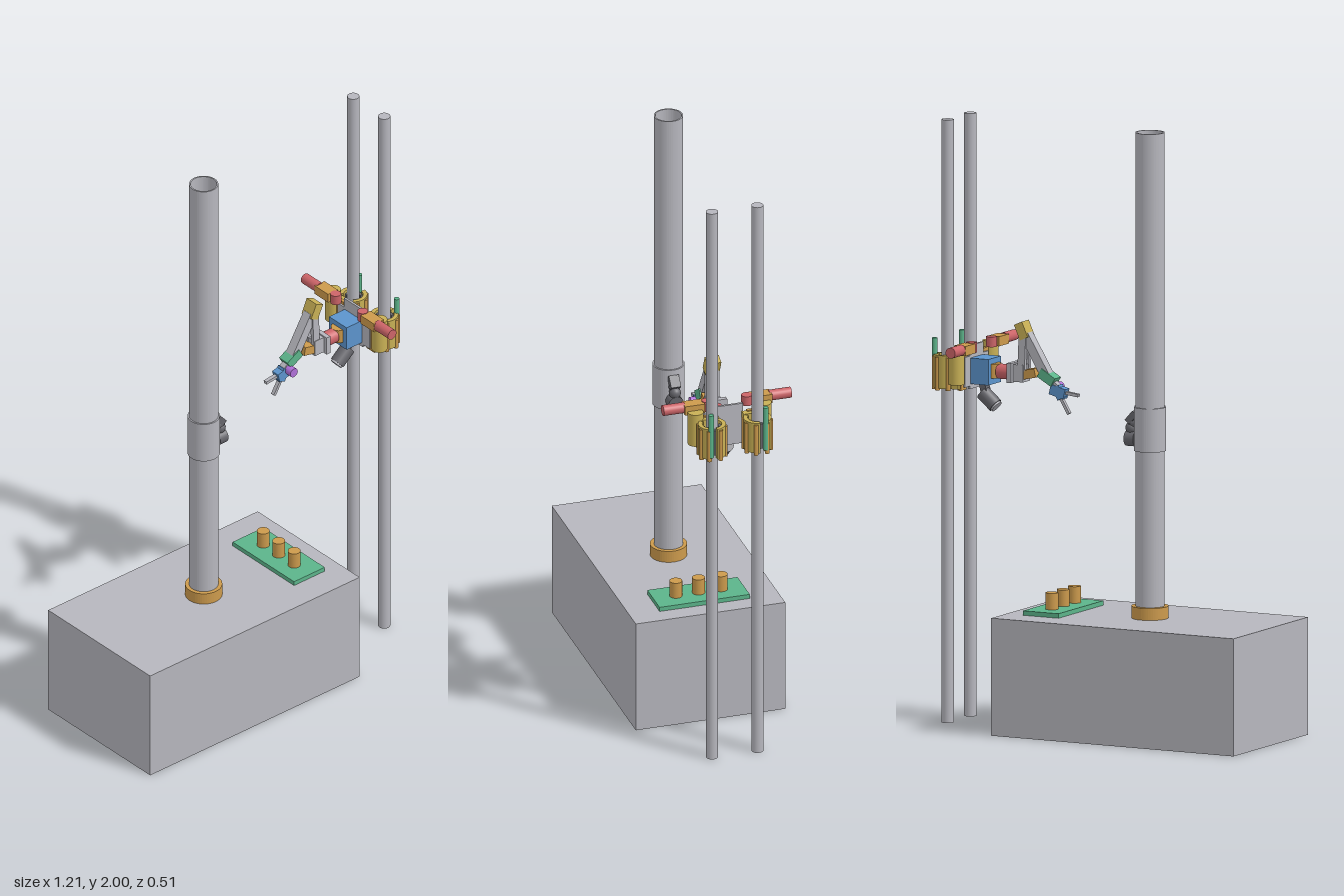
import * as THREE from 'three';

const mat = (name, color) => {
  const m = new THREE.MeshStandardMaterial({ color });
  m.name = name;
  return m;
};

export function createModel() {
  const grey = mat('light grey', 0xb6b6bd), dark = mat('dark grey', 0x66666c);
  const orange = mat('orange', 0xcc9a4c), gold = mat('gold', 0xc8b055);
  const green = mat('green', 0x5cb48a), red = mat('red', 0xcc6468);
  const blue = mat('blue', 0x5c94cc), purple = mat('purple', 0xb070d8);

  const model = new THREE.Group();
  model.name = 'pipeRobotRig';
  const group = (name, parent = model) => {
    const g = new THREE.Group();
    g.name = name;
    parent.add(g);
    return g;
  };
  const add = (parent, name, geo, m, x = 0, y = 0, z = 0) => {
    const mesh = new THREE.Mesh(geo, m);
    mesh.name = name;
    mesh.position.set(x, y, z);
    parent.add(mesh);
    return mesh;
  };
  // Box given by its limits
  const box = (parent, name, m, x0, x1, y0, y1, z0, z1) =>
    add(parent, name, new THREE.BoxGeometry(x1 - x0, y1 - y0, z1 - z0), m, (x0 + x1) / 2, (y0 + y1) / 2, (z0 + z1) / 2);
  // Cylinder between two points
  const up = new THREE.Vector3(0, 1, 0);
  const rod = (parent, name, m, a, b, r, r2 = r, sides = 24) => {
    const p = new THREE.Vector3(...a), q = new THREE.Vector3(...b), d = q.clone().sub(p);
    const mesh = add(parent, name, new THREE.CylinderGeometry(r2, r, d.length(), sides), m);
    mesh.position.copy(p.add(q).multiplyScalar(0.5));
    mesh.quaternion.setFromUnitVectors(up, d.normalize());
    return mesh;
  };
  // Rectangular bar between two points in the arm plane
  const bar = (parent, name, m, [ax, ay], [bx, by], w, depth, z = 0) => {
    const mesh = add(parent, name, new THREE.BoxGeometry(Math.hypot(bx - ax, by - ay), w, depth), m, (ax + bx) / 2, (ay + by) / 2, z);
    mesh.rotation.z = Math.atan2(by - ay, bx - ax);
    return mesh;
  };
  // Hollow vertical tube, or an arc of one
  const tube = (parent, name, m, x, y0, y1, z, ro, ri, a0 = 0, a1 = Math.PI * 2) => {
    const s = new THREE.Shape();
    s.absarc(0, 0, ro, a0, a1, false);
    if (a1 - a0 > 6.28) s.holes.push(new THREE.Path().absarc(0, 0, ri, 0, Math.PI * 2, true));
    else s.absarc(0, 0, ri, a1, a0, true);
    const geo = new THREE.ExtrudeGeometry(s, { depth: y1 - y0, bevelEnabled: false, curveSegments: 24 });
    geo.rotateX(-Math.PI / 2);
    return add(parent, name, geo, m, x, y0, z);
  };

  // Base block and main mast
  box(model, 'baseBlock', grey, -0.607, 0.295, 0, 0.39, -0.257, 0.257);
  const px = -0.157;
  const mast = group('mast');
  tube(mast, 'mastTube', grey, px, 0.39, 2, 0, 0.048, 0.043);
  tube(mast, 'mastCollar', orange, px, 0.39, 0.43, 0, 0.061, 0.047);
  tube(mast, 'mastSleeve', grey, px, 0.945, 1.09, 0, 0.053, 0.047);

  // Camera on the mast sleeve
  const cam = group('mastCamera');
  rod(cam, 'cameraMount', dark, [-0.107, 1.03, 0], [-0.085, 1.03, 0], 0.016);
  bar(cam, 'cameraBracket', dark, [-0.108, 1.066], [-0.08, 1.035], 0.022, 0.034);
  add(cam, 'cameraBall', new THREE.SphereGeometry(0.02, 20, 14), dark, -0.088, 1.015, 0);
  rod(cam, 'cameraBody', dark, [-0.107, 0.98, 0], [-0.072, 0.98, 0], 0.026);

  // Button panel
  const panel = group('buttonPanel');
  box(panel, 'panelPlate', green, 0.1, 0.232, 0.39, 0.405, -0.155, 0.155);
  for (const z of [-0.078, 0, 0.078]) rod(panel, 'button', orange, [0.166, 0.405, z], [0.166, 0.46, z], 0.021);

  // Twin poles with a clamp on each, mirrored across the centre plane
  for (const s of [1, -1]) {
    const z = s * 0.078, x = 0.554;
    rod(model, 'pole', grey, [x, 0, z], [x, 2, z], 0.02);

    const clamp = group(s > 0 ? 'leftClamp' : 'rightClamp');
    const turn = s > 0 ? 0 : Math.PI;
    for (const [a0, a1] of [[-2.35, -0.35], [0.1, 2.3]]) {
      const [b0, b1] = s > 0 ? [a0, a1] : [-a1, -a0];
      tube(clamp, 'jaw', gold, x, 1.112, 1.222, z, 0.046, 0.032, b0, b1);
    }
    for (const a of [-2.1, -1.2, -0.5, 0.4, 1.2, 2.0]) {
      const c = Math.cos(a), d = -s * Math.sin(a);
      rod(clamp, 'jawRib', orange, [x + 0.044 * c, 1.106, z + 0.044 * d], [x + 0.044 * c, 1.216, z + 0.044 * d], 0.008, 0.008, 10);
    }
    for (const a of [-1.6, 0.0, 1.6]) {
      const c = Math.cos(a), d = Math.sin(a);
      const pad = box(clamp, 'gripPad', dark, -0.006, 0.006, -0.045, 0.045, -0.01, 0.01);
      pad.position.set(x + 0.028 * c, 1.167, z + 0.028 * d);
      pad.rotation.y = -a + turn;
    }
    box(clamp, 'clampBody', gold, 0.497, 0.522, 1.112, 1.222, z - 0.036, z + 0.036);
    box(clamp, 'clampRail', orange, 0.494, 0.506, 1.106, 1.226, z - 0.02, z + 0.02);
    rod(clamp, 'greenPin', green, [0.594, 1.12, s * 0.094], [0.594, 1.275, s * 0.094], 0.009, 0.009, 12);

    // Clamp drive
    rod(clamp, 'pivotDisc', gold, [0.5, 1.13, s * 0.117], [0.5, 1.245, s * 0.117], 0.026);
    box(clamp, 'driveHousing', orange, 0.449, 0.491, 1.232, 1.264, Math.min(s * 0.082, s * 0.15), Math.max(s * 0.082, s * 0.15));
    rod(clamp, 'driveMotor', red, [0.467, 1.25, s * 0.145], [0.467, 1.25, s * 0.22], 0.018);
    rod(clamp, 'pivotMotor', red, [0.47, 1.232, s * 0.068], [0.47, 1.266, s * 0.068], 0.018);
  }

  // Carriage joining the clamps
  const carriage = group('carriage');
  box(carriage, 'backPlate', grey, 0.488, 0.496, 1.105, 1.25, -0.047, 0.047);
  box(carriage, 'crossPlate', grey, 0.488, 0.496, 1.115, 1.215, -0.08, 0.08);
  box(carriage, 'controlBox', blue, 0.421, 0.488, 1.122, 1.208, -0.044, 0.044);
  rod(carriage, 'carriageCamera', dark, [0.418, 1.05, 0], [0.465, 1.09, 0], 0.025);
  rod(carriage, 'carriageLens', grey, [0.413, 1.046, 0], [0.419, 1.051, 0], 0.021);
  bar(carriage, 'cameraHanger', dark, [0.45, 1.075], [0.462, 1.125], 0.022, 0.03);

  // Jointed arm
  const arm = group('arm');
  rod(arm, 'shoulderDisc', orange, [0.425, 1.142, 0], [0.425, 1.19, 0], 0.026);
  rod(arm, 'shoulderMotor', red, [0.352, 1.165, 0], [0.405, 1.165, 0], 0.025, 0.025);
  box(arm, 'shoulderFlange', grey, 0.34, 0.356, 1.135, 1.2, -0.038, 0.038);
  box(arm, 'shoulderYoke', grey, 0.302, 0.34, 1.138, 1.195, -0.024, 0.024);
  bar(arm, 'shoulderLink', orange, [0.26, 1.172], [0.307, 1.162], 0.03, 0.044);
  for (const z of [-0.015, 0.015]) bar(arm, 'upperArm', grey, [0.312, 1.175], [0.307, 1.295], 0.026, 0.014, z);
  bar(arm, 'forearm', grey, [0.225, 1.165], [0.303, 1.295], 0.032, 0.034);
  bar(arm, 'elbowMotor', gold, [0.3, 1.283], [0.322, 1.333], 0.032, 0.048);
  bar(arm, 'wristBlock', green, [0.194, 1.145], [0.245, 1.175], 0.032, 0.042);
  bar(arm, 'wristLink', grey, [0.178, 1.12], [0.213, 1.15], 0.022, 0.024);

  // Gripper hand
  const hand = group('gripper', arm);
  rod(hand, 'wristMotor', purple, [0.198, 1.125, 0.012], [0.198, 1.125, 0.04], 0.016);
  bar(hand, 'palm', blue, [0.155, 1.108], [0.208, 1.122], 0.034, 0.03);
  bar(hand, 'knuckle', blue, [0.168, 1.092], [0.188, 1.132], 0.026, 0.03);
  bar(hand, 'upperFinger', grey, [0.165, 1.113], [0.108, 1.106], 0.01, 0.014);
  bar(hand, 'lowerFinger', grey, [0.175, 1.096], [0.143, 1.043], 0.01, 0.014);

  return model;
}
